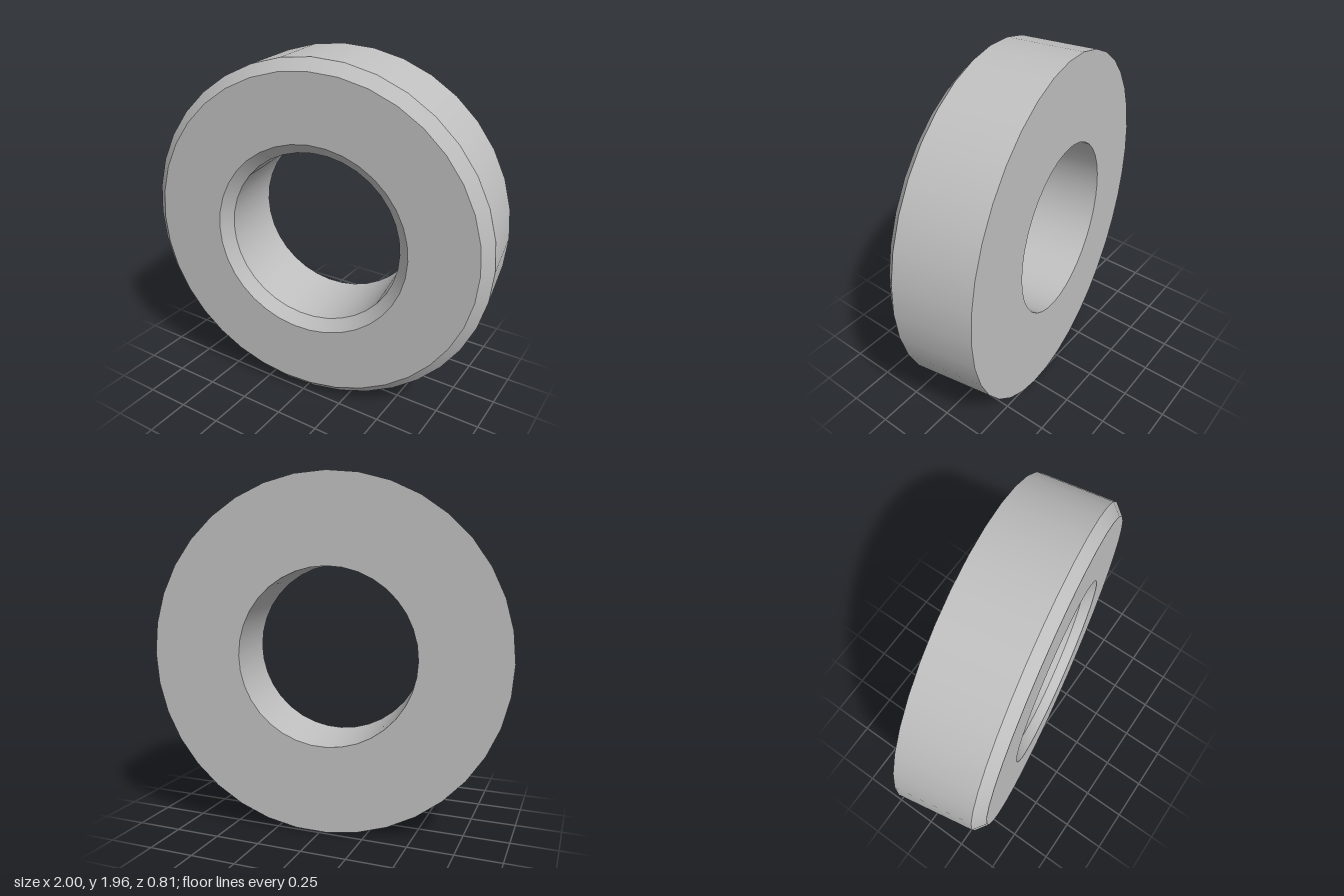
import * as THREE from 'three';
import { mergeGeometries } from 'three/addons/utils/BufferGeometryUtils.js';

const SIDES = 36;
const OUTER = 0.9775, HOLE = 0.49, CHAMFER = 0.06;
const BACK = -0.214, SHOULDER = 0.214, FRONT = 0.271;

// Closed cross-section as (radius, position along the axis)
const PROFILE = [
  [OUTER, BACK],
  [OUTER, SHOULDER],
  [OUTER - CHAMFER, FRONT],
  [HOLE + CHAMFER, FRONT],
  [HOLE, SHOULDER],
  [HOLE, BACK],
].map(([r, h]) => new THREE.Vector2(r, h));

export function createModel() {
  const grey = new THREE.MeshStandardMaterial({ color: 0xc0c0c0 });
  grey.name = 'plain grey';

  // One lathe band per profile edge: smooth around the ring, sharp between bands
  const bands = PROFILE.map((p, i) =>
    new THREE.LatheGeometry([p, PROFILE[(i + 1) % PROFILE.length]], SIDES));
  const geometry = mergeGeometries(bands);
  geometry.rotateX(Math.PI / 2); // axis to +z

  const ring = new THREE.Mesh(geometry, grey);
  ring.name = 'chamferedRing';
  ring.rotation.y = THREE.MathUtils.degToRad(10);
  ring.position.set(0, OUTER, -0.023);

  const model = new THREE.Group();
  model.name = 'ringSpacer';
  model.add(ring);
  return model;
}
